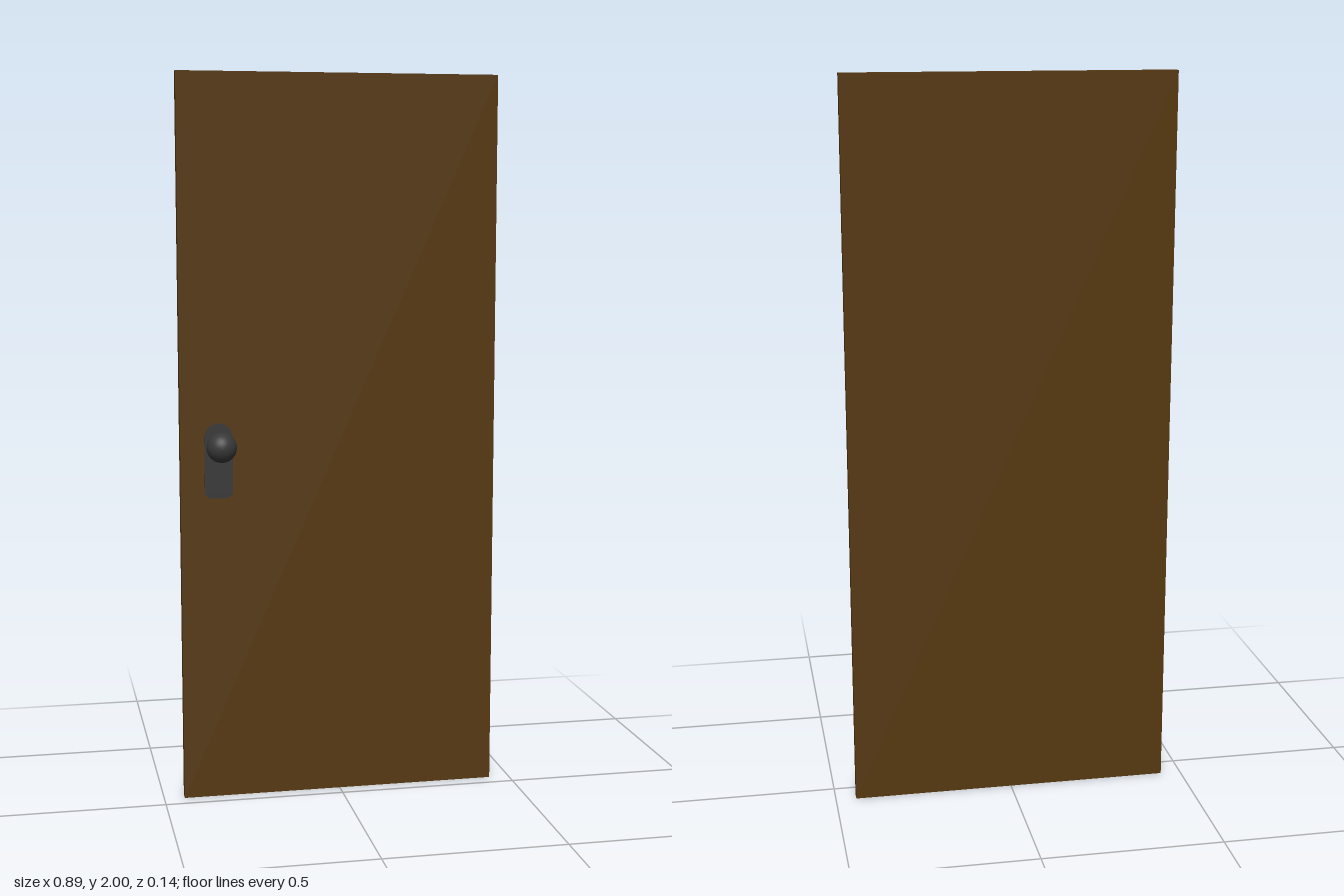
import * as THREE from 'three';

export function createModel() {
  const group = new THREE.Group();
  const wood = new THREE.MeshStandardMaterial({ color: 0x55370f });
  wood.name = 'brown wood';
  const metal = new THREE.MeshStandardMaterial({ color: 0x383838 });
  metal.name = 'dark metal';

  const add = (name, geometry, material, x, y, z) => {
    const mesh = new THREE.Mesh(geometry, material);
    mesh.name = name;
    mesh.position.set(x, y, z);
    group.add(mesh);
    return mesh;
  };

  // Plain door slab
  add('doorPanel', new THREE.BoxGeometry(0.886, 2, 0.028), wood, 0, 1, -0.057);

  // Handle plate: round top, softly rounded bottom corners
  const w = 0.039, r = 0.02, bottom = -0.15;
  const outline = new THREE.Shape();
  outline.moveTo(w, 0.018);
  outline.absarc(0, 0.018, w, 0, Math.PI, false);
  outline.lineTo(-w, bottom + r);
  outline.absarc(-w + r, bottom + r, r, Math.PI, Math.PI * 1.5, false);
  outline.absarc(w - r, bottom + r, r, Math.PI * 1.5, Math.PI * 2, false);
  outline.closePath();
  const plate = new THREE.ExtrudeGeometry(outline, { depth: 0.004, bevelEnabled: false, curveSegments: 10 });
  add('handlePlate', plate, metal, -0.338, 1, -0.0435);

  // Knob: stem flaring into a ball, turned about the z axis
  const ball = 0.0415, centre = 0.069;
  const profile = [[0.012, 0], [0.012, 0.023]].map(([x, y]) => new THREE.Vector2(x, y));
  for (let i = 0; i <= 12; i++) {
    const a = THREE.MathUtils.lerp(-0.72, Math.PI / 2, i / 12);
    profile.push(new THREE.Vector2(Math.max(0, ball * Math.cos(a)), centre + ball * Math.sin(a)));
  }
  const knob = add('knob', new THREE.LatheGeometry(profile, 24), metal, -0.338, 1, -0.0425);
  knob.rotation.x = Math.PI / 2;

  return group;
}
